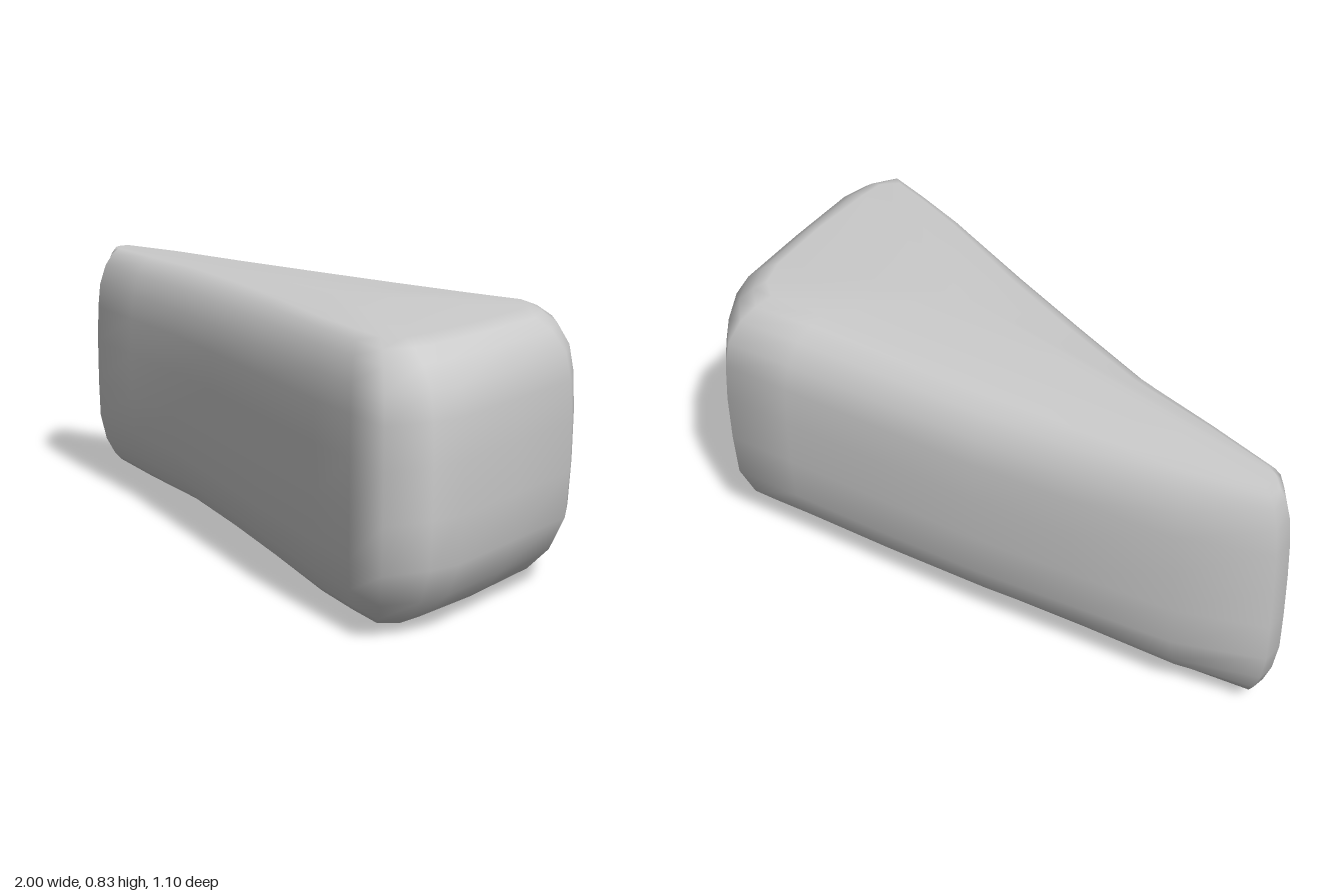
import * as THREE from 'three';

// Plan outline pairs: [outer x, outer z, cap x, cap z], from the thin back corner round to the front
const OUTLINE = [
  [-0.99, -0.47, -0.93, -0.44], [-0.72, -0.54, -0.70, -0.44], [-0.40, -0.545, -0.38, -0.41],
  [-0.08, -0.55, -0.08, -0.39], [0.28, -0.535, 0.27, -0.37], [0.60, -0.52, 0.55, -0.36],
  [0.83, -0.51, 0.74, -0.36], [0.91, -0.40, 0.80, -0.30], [0.98, -0.27, 0.83, -0.20],
  [0.99, 0.03, 0.84, 0.03], [1.0, 0.32, 0.83, 0.27], [0.97, 0.42, 0.82, 0.35],
  [0.90, 0.55, 0.77, 0.39], [0.74, 0.485, 0.65, 0.34], [0.56, 0.41, 0.48, 0.26],
  [0.20, 0.23, 0.16, 0.08], [-0.10, 0.08, -0.12, -0.06], [-0.38, -0.06, -0.40, -0.19],
  [-0.68, -0.18, -0.68, -0.28], [-0.93, -0.28, -0.90, -0.36], [-0.96, -0.34, -0.93, -0.38],
  [-1.0, -0.40, -0.94, -0.41],
];

// Rings from bottom to top: [height, inset from outer (0) to cap (1)]
const RINGS = [
  [0.015, 1], [0.045, 0.7], [0.11, 0.32], [0.21, 0.06], [0.35, 0.01], [0.5, 0],
  [0.62, 0.04], [0.70, 0.14], [0.765, 0.4], [0.80, 0.7], [0.82, 1],
];

// The underside rises gently toward the thin end
function lift(x, y) {
  const rise = THREE.MathUtils.clamp((0.25 - x) / 1.2, 0, 1) * 0.05;
  return y + rise * Math.max(0, 1 - y / 0.4);
}

function stoneGeometry() {
  const pos = [], index = [], n = OUTLINE.length;
  for (const [y, t] of RINGS) {
    for (const [ox, oz, cx, cz] of OUTLINE) {
      const x = THREE.MathUtils.lerp(ox, cx, t);
      pos.push(x, lift(x, y), THREE.MathUtils.lerp(oz, cz, t));
    }
  }
  for (let i = 0; i < RINGS.length - 1; i++) {
    for (let j = 0; j < n; j++) {
      const a = i * n + j, b = i * n + (j + 1) % n;
      index.push(a, a + n, b, b, a + n, b + n);
    }
  }
  // Slightly domed caps
  const bottom = pos.length / 3, top = bottom + 1, last = (RINGS.length - 1) * n;
  pos.push(0.25, 0, -0.08, 0.25, 0.83, -0.08);
  for (let j = 0; j < n; j++) {
    const k = (j + 1) % n;
    index.push(bottom, j, k, top, last + k, last + j);
  }
  const geo = new THREE.BufferGeometry();
  geo.setAttribute('position', new THREE.Float32BufferAttribute(pos, 3));
  geo.setIndex(index);
  geo.computeVertexNormals();
  return geo;
}

export function createModel() {
  const group = new THREE.Group();
  group.name = 'wedgeStone';
  const stone = new THREE.Mesh(stoneGeometry(), new THREE.MeshStandardMaterial({ color: 0xcccccc }));
  stone.name = 'stone';
  group.add(stone);
  return group;
}
